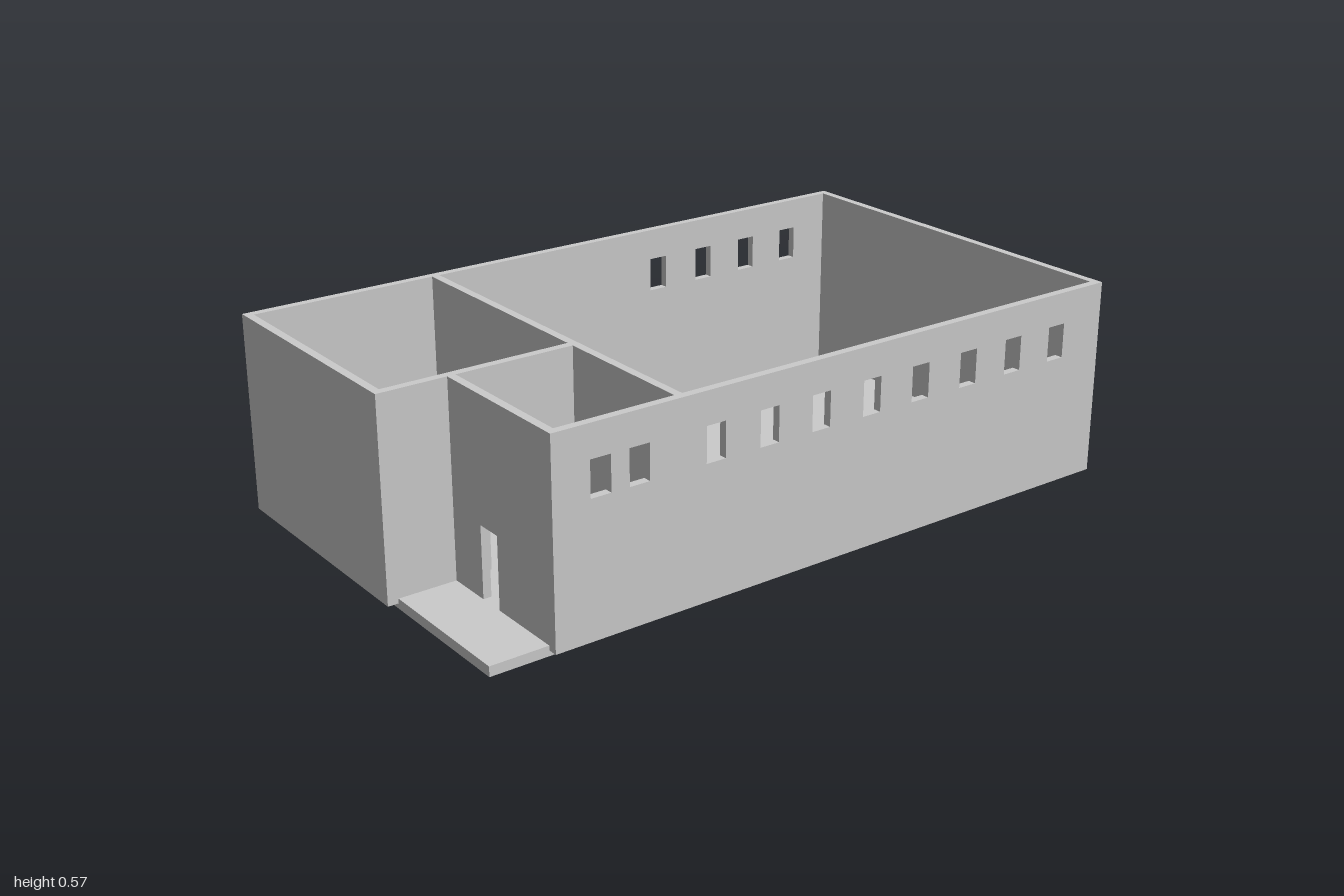
import * as THREE from 'three';

const BASE = 0.015, TOP = 0.573, FLOOR = 0.028, T = 0.023;
const X = 1, Z = 0.583;

export function createModel() {
  const group = new THREE.Group();
  const material = new THREE.MeshStandardMaterial({ color: 0xcccccc, flatShading: true });

  const add = (name, geometry) => {
    const mesh = new THREE.Mesh(geometry, material);
    mesh.name = name;
    group.add(mesh);
  };

  // Upright panel from a to b along its length, pierced by openings [centre, bottom, width, height]
  const panel = (a, b, openings) => {
    const shape = new THREE.Shape();
    shape.moveTo(a, BASE).lineTo(b, BASE).lineTo(b, TOP).lineTo(a, TOP).closePath();
    for (const [c, y, w, h] of openings) {
      const hole = new THREE.Path();
      hole.moveTo(c - w / 2, y).lineTo(c - w / 2, y + h).lineTo(c + w / 2, y + h).lineTo(c + w / 2, y).closePath();
      shape.holes.push(hole);
    }
    return new THREE.ExtrudeGeometry(shape, { depth: T, bevelEnabled: false });
  };

  // Wall running along x, occupying z to z + T
  const wallX = (name, x0, x1, z, openings = []) =>
    add(name, panel(x0, x1, openings).translate(0, 0, z));

  // Wall running along z, occupying x to x + T
  const wallZ = (name, z0, z1, x, openings = []) => {
    const flipped = openings.map(([c, ...rest]) => [-c, ...rest]);
    add(name, panel(-z1, -z0, flipped).rotateY(Math.PI / 2).translate(x, 0, 0));
  };

  const windowAt = (x) => [x, 0.385, 0.058, 0.098];
  const door = (c, height) => [c, FLOOR, 0.075, height];

  // Floor slab, inset under the walls and exposed as a porch at the open corner
  add('floorSlab', new THREE.BoxGeometry(1.94, FLOOR, 1.112).translate(0, FLOOR / 2, 0));

  // Window rows
  const hallWindows = [0.33, 0.5, 0.665, 0.83].map(windowAt);
  const frontWindows = [-0.67, -0.56, -0.335, -0.17, -0.005, 0.163].map(windowAt);

  // Outer walls
  wallX('frontWall', -0.805, X, Z - T, [...frontWindows, ...hallWindows]);
  wallX('backWall', -X, X, -Z, hallWindows);
  wallZ('leftWall', -Z + T, Z - T, X - T);
  wallZ('rightWall', -Z + T, 0.112, -X);
  wallZ('porchWall', 0.112 + T, Z - T, -0.805, [door(0.3, 0.2)]);

  // Inner walls
  wallX('crossWall', -X, -0.443, 0.112, [door(-0.665, 0.342)]);
  wallZ('hallPartition', -Z + T, Z - T, -0.443, [door(-0.41, 0.1)]);

  return group;
}
